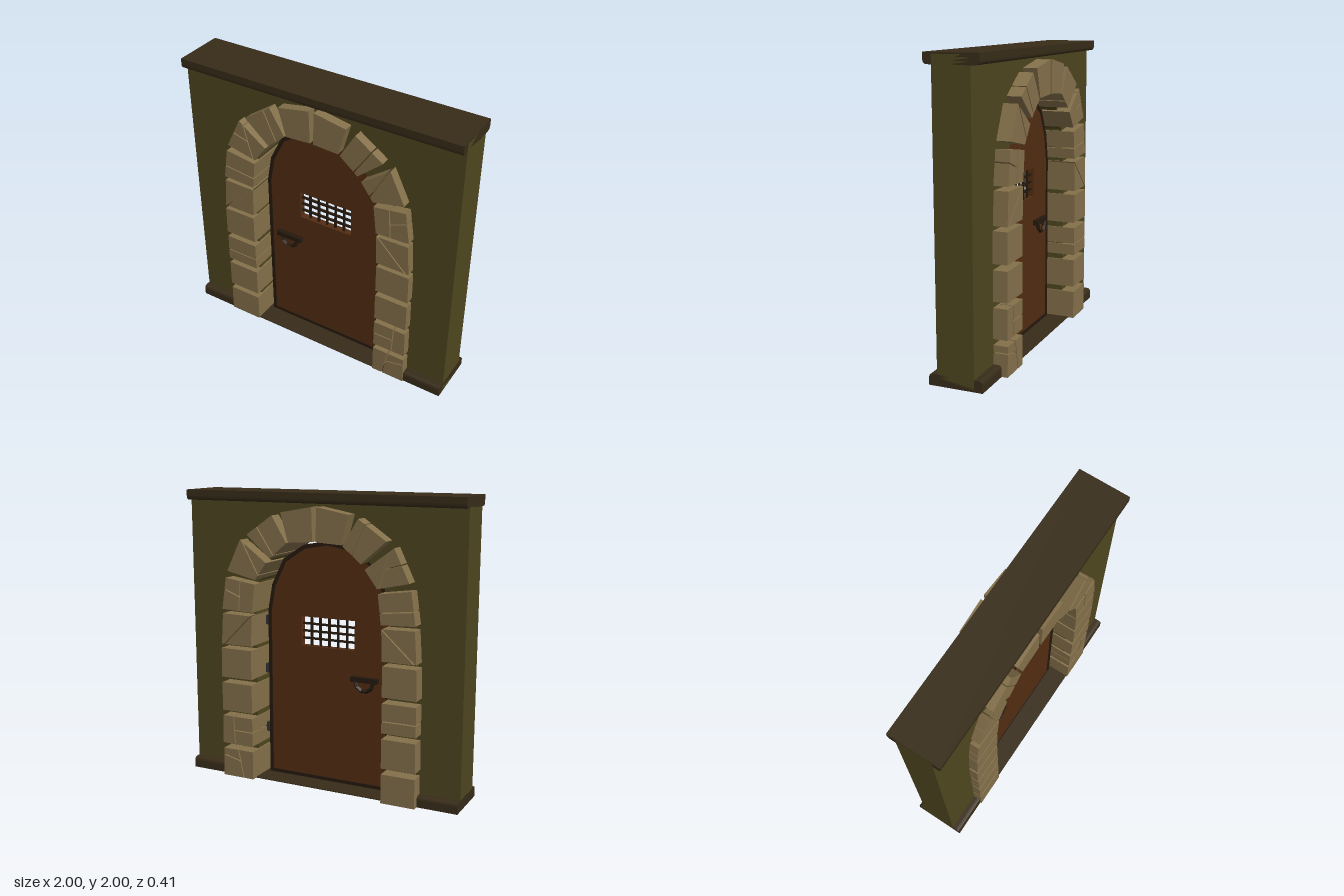
import * as THREE from 'three';

const mat = (color) => new THREE.MeshStandardMaterial({ color, flatShading: true });
const wallMat = mat(0x4e461f);
const beamMat = mat(0x382c19);
const stoneMat = mat(0x84704a);
const doorMat = mat(0x522c11);
const trimMat = mat(0x25190e);
const hingeMat = mat(0x333338);

const toShape = (pts) => new THREE.Shape(pts.map(([x, y]) => new THREE.Vector2(x, y)));
const mirrorX = (pts) => pts.map(([x, y]) => [-x, y]);

function add(parent, name, geometry, material) {
  const mesh = new THREE.Mesh(geometry, material);
  mesh.name = name;
  parent.add(mesh);
  return mesh;
}

// Flat outline extruded between two depths
function slab(shape, z0, z1) {
  return new THREE.ExtrudeGeometry(shape, { depth: z1 - z0, bevelEnabled: false, curveSegments: 4 }).translate(0, 0, z0);
}

function box(parent, name, material, w, h, d, x, y, z) {
  return add(parent, name, new THREE.BoxGeometry(w, h, d).translate(x, y, z), material);
}

// Full symmetric outline from its right half, listed from the floor to the crown
function arch(half) {
  return [...half, ...mirrorX(half.slice(0, -1)).reverse()];
}

// Beam along x with two long edges rounded
function beam(parent, name, x0, x1, height, y, roundTop) {
  const w = 0.179, r = 0.028;
  const s = new THREE.Shape();
  s.moveTo(-w, height);
  s.lineTo(-w, r);
  s.quadraticCurveTo(-w, 0, -w + r, 0);
  s.lineTo(w - r, 0);
  s.quadraticCurveTo(w, 0, w, r);
  s.lineTo(w, height);
  const g = slab(s, -(x1 - x0) / 2, (x1 - x0) / 2);
  if (roundTop) g.rotateZ(Math.PI).translate(0, height, 0);
  g.rotateY(Math.PI / 2).translate((x0 + x1) / 2, y, 0.016);
  return add(parent, name, g, beamMat);
}

// Part of a polygon on the left of a line, kept a small gap away from it
function clip(poly, [ax, ay, bx, by], gap = 0.004) {
  const len = Math.hypot(bx - ax, by - ay);
  const dist = ([x, y]) => ((bx - ax) * (y - ay) - (by - ay) * (x - ax)) / len - gap;
  const out = [];
  poly.forEach((p, i) => {
    const q = poly[(i + 1) % poly.length];
    const dp = dist(p), dq = dist(q);
    if (dp >= 0) out.push(p);
    if (dp * dq < 0) {
      const t = dp / (dp - dq);
      out.push([p[0] + t * (q[0] - p[0]), p[1] + t * (q[1] - p[1])]);
    }
  });
  return out;
}

// Each cut is [piece index, line start, line end]
function crack(poly, cuts) {
  const pieces = [poly];
  for (const [i, ax, ay, bx, by] of cuts) {
    const p = pieces[i];
    pieces[i] = clip(p, [ax, ay, bx, by]);
    pieces.push(clip(p, [bx, by, ax, ay]));
  }
  return pieces.filter((p) => p.length > 2);
}

// Stones of the right-hand half, floor to crown
const block = (y0, y1) => [[0.485, y0], [0.723, y0], [0.72, y1], [0.485, y1]];
const stones = [
  block(0, 0.2),
  block(0.24, 0.44),
  block(0.48, 0.68),
  block(0.72, 0.925),
  [[0.482, 0.955], [0.717, 0.955], [0.703, 1.17], [0.476, 1.165]],
  [[0.472, 1.19], [0.706, 1.2], [0.674, 1.417], [0.45, 1.385]],
  [[0.444, 1.417], [0.66, 1.465], [0.556, 1.68], [0.358, 1.535]],
  [[0.33, 1.567], [0.503, 1.717], [0.31, 1.85], [0.203, 1.674]],
  [[0.19, 1.68], [0.245, 1.872], [0.018, 1.914], [0.012, 1.69]],
];
const cracks = {
  left: {
    0: [[0, 0.56, 0, 0.6, 0.2], [1, 0.58, 0.12, 0.73, 0.155]],
    1: [[0, 0.625, 0.24, 0.635, 0.44], [0, 0.48, 0.34, 0.64, 0.34]],
    4: [[0, 0.49, 1.16, 0.69, 0.96]],
    5: [[0, 0.575, 1.19, 0.56, 1.42], [1, 0.57, 1.295, 0.7, 1.345]],
    6: [[0, 0.42, 1.45, 0.55, 1.69]],
    7: [[0, 0.31, 1.6, 0.43, 1.78]],
  },
  right: {
    2: [[0, -0.72, 0.56, -0.48, 0.56]],
    4: [[0, -0.7, 0.96, -0.48, 1.16]],
    5: [[0, -0.69, 1.29, -0.46, 1.265]],
    6: [[0, -0.46, 1.42, -0.53, 1.68], [0, -0.65, 1.59, -0.48, 1.54]],
    7: [[0, -0.36, 1.82, -0.27, 1.62]],
  },
};

function handle(parent, name, z, dir) {
  const g = new THREE.Group();
  g.name = name;
  box(g, 'handlePlate', trimMat, 0.195, 0.034, 0.035, 0, 0.017, dir * 0.0175);
  const ring = new THREE.TorusGeometry(0.066, 0.014, 4, 5, Math.PI).rotateZ(Math.PI);
  ring.translate(0, 0.005, dir * 0.025);
  add(g, 'handleRing', ring, trimMat);
  g.position.set(-0.282, 0.75, z);
  parent.add(g);
}

export function createModel() {
  const model = new THREE.Group();
  model.name = 'archedDoorway';

  // Wall with its arched opening
  const opening = arch([[0.498, 0.004], [0.493, 1.18], [0.457, 1.4], [0.357, 1.56], [0.2, 1.678], [0, 1.708]]);
  const wall = toShape([[1, 0.004], ...opening, [-1, 0.004], [-1, 1.99], [1, 1.99]]);
  add(model, 'wall', slab(wall, -0.107, 0.14), wallMat);

  // Beams above and below, thin threshold under the door
  beam(model, 'topBeam', -1, 1, 0.07, 1.93, false);
  for (const [side, x0, x1] of [['left', 0.5, 1], ['right', -1, -0.5]]) {
    beam(model, side + 'BottomBeam', x0, x1, 0.075, 0, true);
  }
  box(model, 'threshold', beamMat, 1, 0.006, 0.358, 0, 0.003, 0.016);

  // Stone surround, some blocks cracked
  for (const side of ['left', 'right']) {
    const group = new THREE.Group();
    group.name = side + 'Stones';
    stones.forEach((pts, i) => {
      const poly = side === 'left' ? pts : mirrorX(pts).reverse();
      for (const piece of crack(poly, cracks[side][i] || [])) {
        add(group, 'stone' + (i + 1), slab(toShape(piece), -0.204, 0.204), stoneMat);
      }
    });
    model.add(group);
  }

  // Door: edge trim around a panel with a barred window
  const door = new THREE.Group();
  door.name = 'door';
  const outer = arch([[0.457, 0.007], [0.457, 1.18], [0.423, 1.365], [0.333, 1.545], [0.18, 1.645], [0, 1.675]]);
  const inner = arch([[0.432, 0.03], [0.432, 1.18], [0.4, 1.355], [0.315, 1.525], [0.17, 1.62], [0, 1.65]]);
  const trim = toShape(outer);
  trim.holes.push(toShape(inner));
  add(door, 'doorTrim', slab(trim, -0.008, 0.052), trimMat);
  const panel = toShape(inner);
  panel.holes.push(toShape([[-0.2, 0.955], [-0.2, 1.158], [0.2, 1.158], [0.2, 0.955]]));
  add(door, 'doorPanel', slab(panel, -0.003, 0.047), doorMat);

  for (let i = 1; i < 6; i++) {
    box(door, 'verticalBar', trimMat, 0.014, 0.205, 0.014, -0.2 + (i * 0.4) / 6, 1.0565, 0.022);
  }
  for (let i = 1; i < 4; i++) {
    box(door, 'horizontalBar', trimMat, 0.4, 0.014, 0.014, 0, 0.955 + (i * 0.203) / 4, 0.022);
  }

  handle(door, 'frontHandle', 0.046, 1);
  handle(door, 'backHandle', -0.002, -1);
  for (const y of [0.335, 0.765, 1.11]) {
    box(door, 'hinge', hingeMat, 0.045, 0.065, 0.04, 0.47, y, 0.015);
  }
  model.add(door);

  return model;
}
